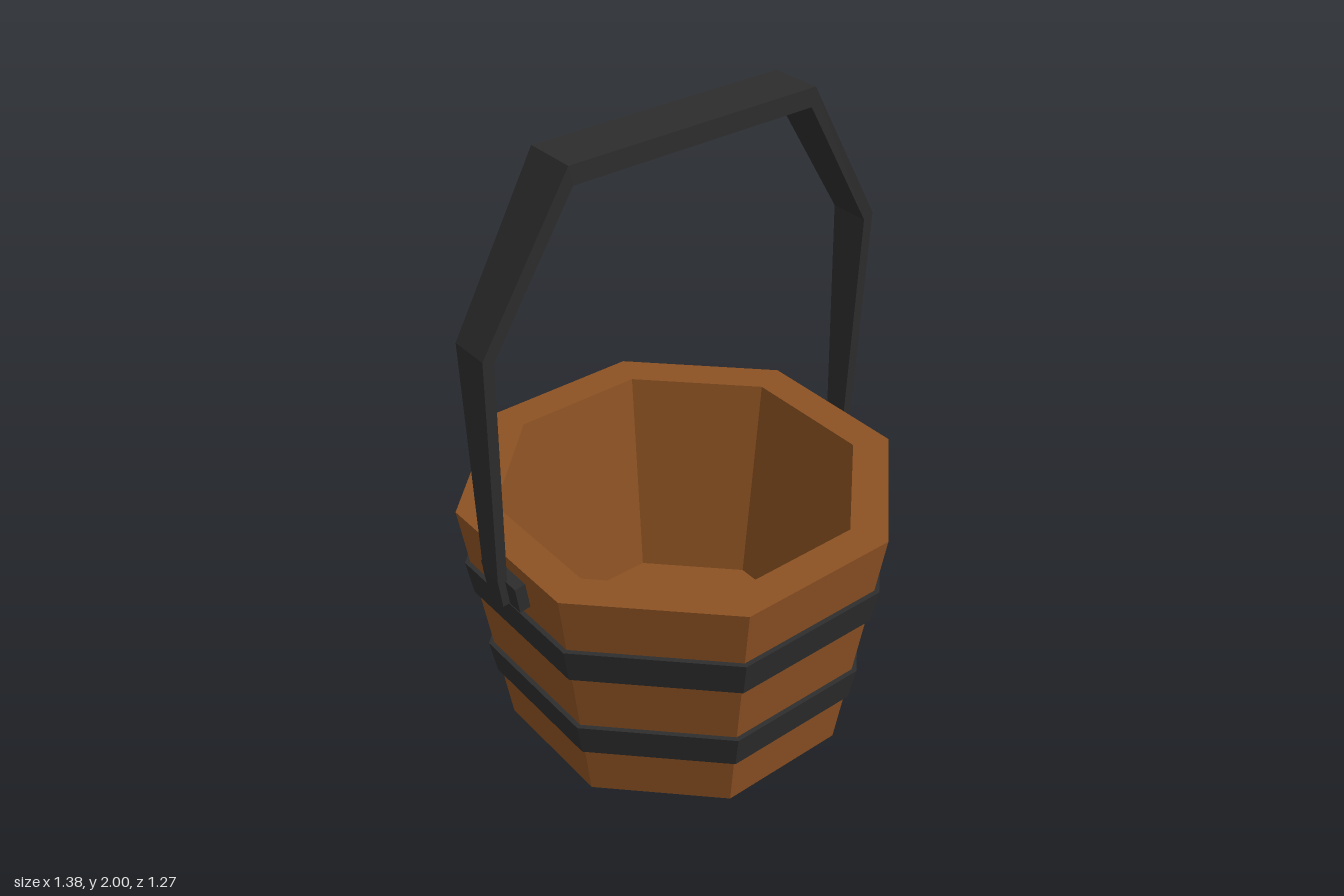
import * as THREE from 'three';

const wood = new THREE.MeshStandardMaterial({ color: 0x8d5223, flatShading: true });
wood.name = 'brown wood';
const iron = new THREE.MeshStandardMaterial({ color: 0x2d2d2d, flatShading: true });
iron.name = 'dark iron';

const SIDES = 8;
const HEIGHT = 0.835;
const slope = (0.634 - 0.518) / HEIGHT;

// Octagonal solid from [apothem, y] points, with flat sides towards the axes
function octagon(name, profile, material) {
  const points = profile.map(([a, y]) => new THREE.Vector2(a / Math.cos(Math.PI / SIDES), y));
  const mesh = new THREE.Mesh(new THREE.LatheGeometry(points, SIDES, Math.PI / SIDES), material);
  mesh.name = name;
  return mesh;
}

// Bail handle: rectangular cross-sections [outer x, outer y, inner x, inner y, half depth]
function handleGeometry() {
  const half = [
    [0.673, 0.69, 0.642, 0.695, 0.036],
    [0.686, 0.79, 0.655, 0.79, 0.038],
    [0.692, 1.53, 0.658, 1.515, 0.064],
    [0.414, 2.0, 0.402, 1.943, 0.081],
  ];
  const mirrored = half.map(([a, b, c, d, w]) => [-a, b, -c, d, w]).reverse();
  const sections = [...half, ...mirrored];
  const positions = [];
  const index = [];
  for (const [ox, oy, ix, iy, w] of sections) {
    positions.push(ox, oy, w, ox, oy, -w, ix, iy, -w, ix, iy, w);
  }
  const quad = (a, b, c, d) => index.push(a, b, c, a, c, d);
  for (let i = 0; i < sections.length - 1; i++) {
    for (let k = 0; k < 4; k++) {
      const n = (k + 1) % 4;
      quad(i * 4 + k, i * 4 + n, i * 4 + 4 + n, i * 4 + 4 + k);
    }
  }
  const e = (sections.length - 1) * 4;
  quad(3, 2, 1, 0);
  quad(e, e + 1, e + 2, e + 3);
  const geometry = new THREE.BufferGeometry();
  geometry.setAttribute('position', new THREE.Float32BufferAttribute(positions, 3));
  geometry.setIndex(index);
  const flat = geometry.toNonIndexed();
  flat.computeVertexNormals();
  return flat;
}

export function createModel() {
  const group = new THREE.Group();
  group.name = 'bucket';

  // Hollow tapered tub with a thick rim and a floor
  group.add(octagon('tub', [
    [0, 0], [0.518, 0], [0.634, HEIGHT], [0.524, HEIGHT], [0.427, 0.13], [0, 0.13],
  ], wood));

  // Two hoops that follow the taper
  for (const [name, y0, y1] of [['lowerHoop', 0.19, 0.306], ['upperHoop', 0.523, 0.641]]) {
    const wall = (y) => 0.518 + slope * y;
    group.add(octagon(name, [
      [wall(y0) - 0.01, y0], [wall(y0) + 0.012, y0],
      [wall(y1) + 0.015, y1], [wall(y1) - 0.01, y1], [wall(y0) - 0.01, y0],
    ], iron));
  }

  // Brackets lying against the tub wall
  for (const side of [1, -1]) {
    const bracket = new THREE.Mesh(new THREE.BoxGeometry(0.04, 0.09, 0.176), iron);
    bracket.name = side > 0 ? 'leftBracket' : 'rightBracket';
    bracket.position.set(side * 0.636, 0.738, 0);
    bracket.rotation.z = -side * Math.atan(slope);
    group.add(bracket);
  }

  // Handle
  const handle = new THREE.Mesh(handleGeometry(), iron);
  handle.name = 'handle';
  group.add(handle);

  return group;
}
